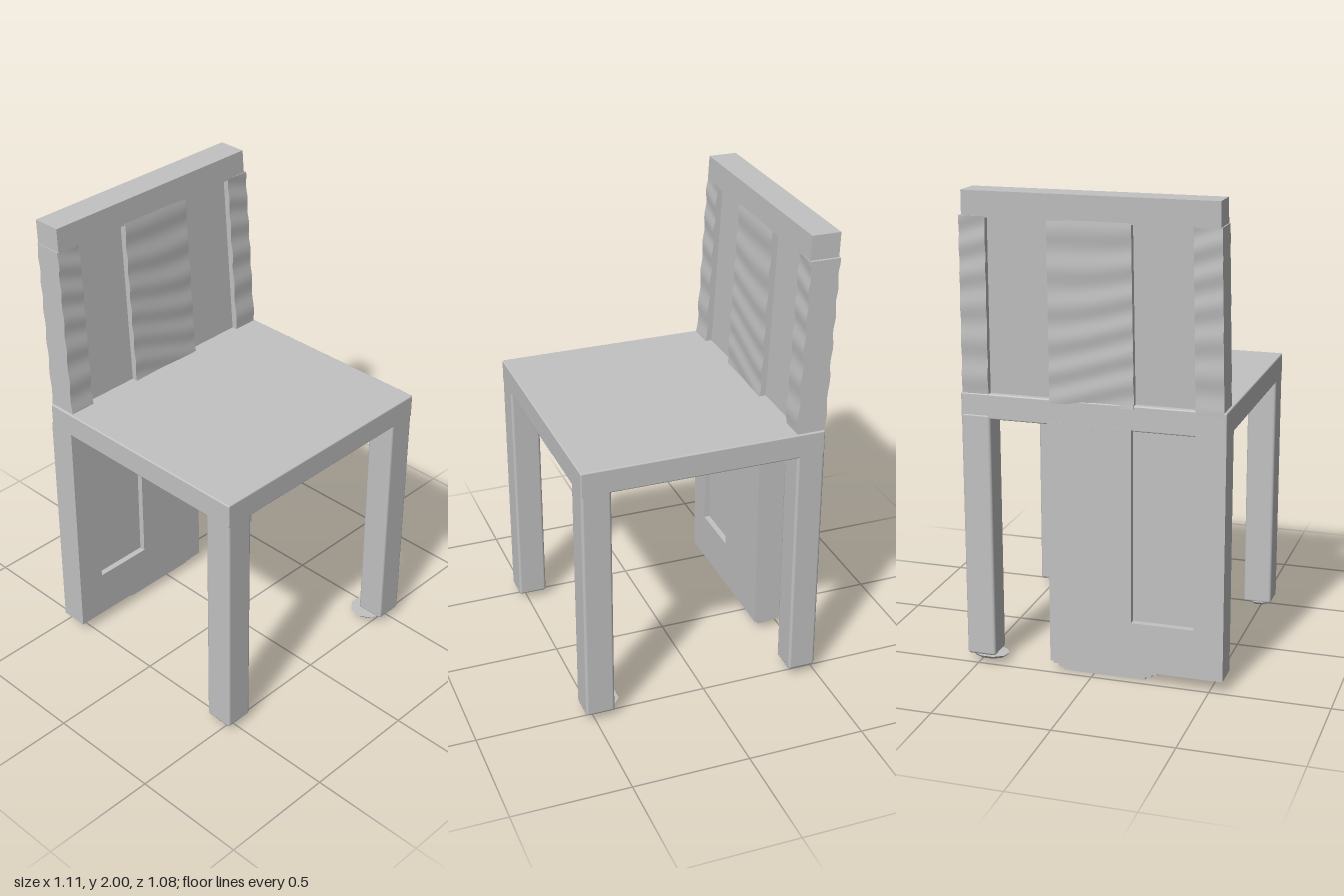
import * as THREE from 'three';
import { RoundedBoxGeometry } from 'three/addons/geometries/RoundedBoxGeometry.js';

const grey = new THREE.MeshStandardMaterial({ color: 0xc2c2c2 });
grey.name = 'plain grey';

export function createModel() {
  const group = new THREE.Group();
  group.name = 'chair';

  const add = (name, geometry) => {
    const mesh = new THREE.Mesh(geometry, grey);
    mesh.name = name;
    group.add(mesh);
    return mesh;
  };

  // Block between two corners, with softened edges where r > 0
  const block = (name, [x0, x1], [y0, y1], [z0, z1], r = 0) => {
    const size = [x1 - x0, y1 - y0, z1 - z0];
    const g = r ? new RoundedBoxGeometry(...size, 2, r) : new THREE.BoxGeometry(...size);
    g.translate((x0 + x1) / 2, (y0 + y1) / 2, (z0 + z1) / 2);
    return add(name, g);
  };

  // Backrest piece: leans backwards, narrows upwards, may carry shallow carved waves
  const leaning = (name, [x0, x1], [y0, y1], inset = 0, wave = 0) => {
    const g = new THREE.BoxGeometry(x1 - x0, y1 - y0, 0.122 - 2 * inset, wave ? 8 : 1, wave ? 48 : 1, 1);
    g.translate((x0 + x1) / 2, (y0 + y1) / 2, 0);
    const p = g.attributes.position;
    for (let i = 0; i < p.count; i++) {
      const x = p.getX(i), y = p.getY(i), z = p.getZ(i);
      const t = (y - 1.17) / 0.83;
      const ripple = wave * Math.sin(y * 48 + x * 9 + 1.5 * Math.sin(x * 6 + y * 5));
      p.setX(i, x * (1 - 0.03 * t) - 0.006 * t);
      p.setZ(i, z - 0.433 - 0.045 * t + Math.sign(z) * ripple);
    }
    g.computeVertexNormals();
    return add(name, g);
  };

  // Seat and legs
  block('seat', [-0.555, 0.55], [1.07, 1.175], [-0.494, 0.54], 0.006);
  block('frontRightLeg', [-0.555, -0.43], [0.03, 1.09], [0.415, 0.54], 0.012);
  block('frontLeftLeg', [0.425, 0.55], [0.03, 1.09], [0.415, 0.54], 0.012);
  block('backLeftLeg', [0.425, 0.55], [0.035, 1.09], [-0.496, -0.376], 0.012);

  // Lower rear panel with a recessed field on both faces
  const depth = [-0.496, -0.376];
  block('lowerPanelOuterStile', [-0.555, -0.43], [0.05, 1.08], depth);
  block('lowerPanelInnerStile', [-0.17, 0.18], [0.05, 1.08], depth);
  block('lowerPanelBottomRail', [-0.43, -0.17], [0.05, 0.26], depth);
  block('lowerPanelField', [-0.43, -0.17], [0.26, 1.08], [-0.468, -0.402]);

  // Backrest: three stiles, two recessed fields and the top rail
  leaning('backRightStile', [-0.545, -0.43], [1.16, 1.9], 0, 0.003);
  leaning('backCentreStile', [-0.18, 0.17], [1.16, 1.9], 0, 0.003);
  leaning('backLeftStile', [0.43, 0.542], [1.16, 1.9], 0, 0.003);
  leaning('backRightField', [-0.43, -0.18], [1.16, 1.9], 0.026);
  leaning('backLeftField', [0.17, 0.43], [1.16, 1.9], 0.026);
  leaning('topRail', [-0.54, 0.53], [1.895, 2.0]);

  // Stepped, worn underside of the lower panel
  for (let i = 0; i < 3; i++) {
    block('panelFoot', [-0.28 + i * 0.03, 0.17 - i * 0.02], [0.036 - i * 0.018, 0.052 - i * 0.018],
      [-0.485 + i * 0.012, -0.39 - i * 0.012]);
  }

  // Thin ragged pads under the legs
  for (const [x, z, rx, rz] of [[-0.5, 0.47, 0.055, 0.07], [0.45, 0.45, 0.08, 0.08], [0.46, -0.45, 0.08, 0.06]]) {
    const pad = add('footPad', new THREE.CylinderGeometry(1, 0.85, 0.012, 9));
    pad.scale.set(rx, 1, rz);
    pad.position.set(x, 0.03, z);
  }
  return group;
}
